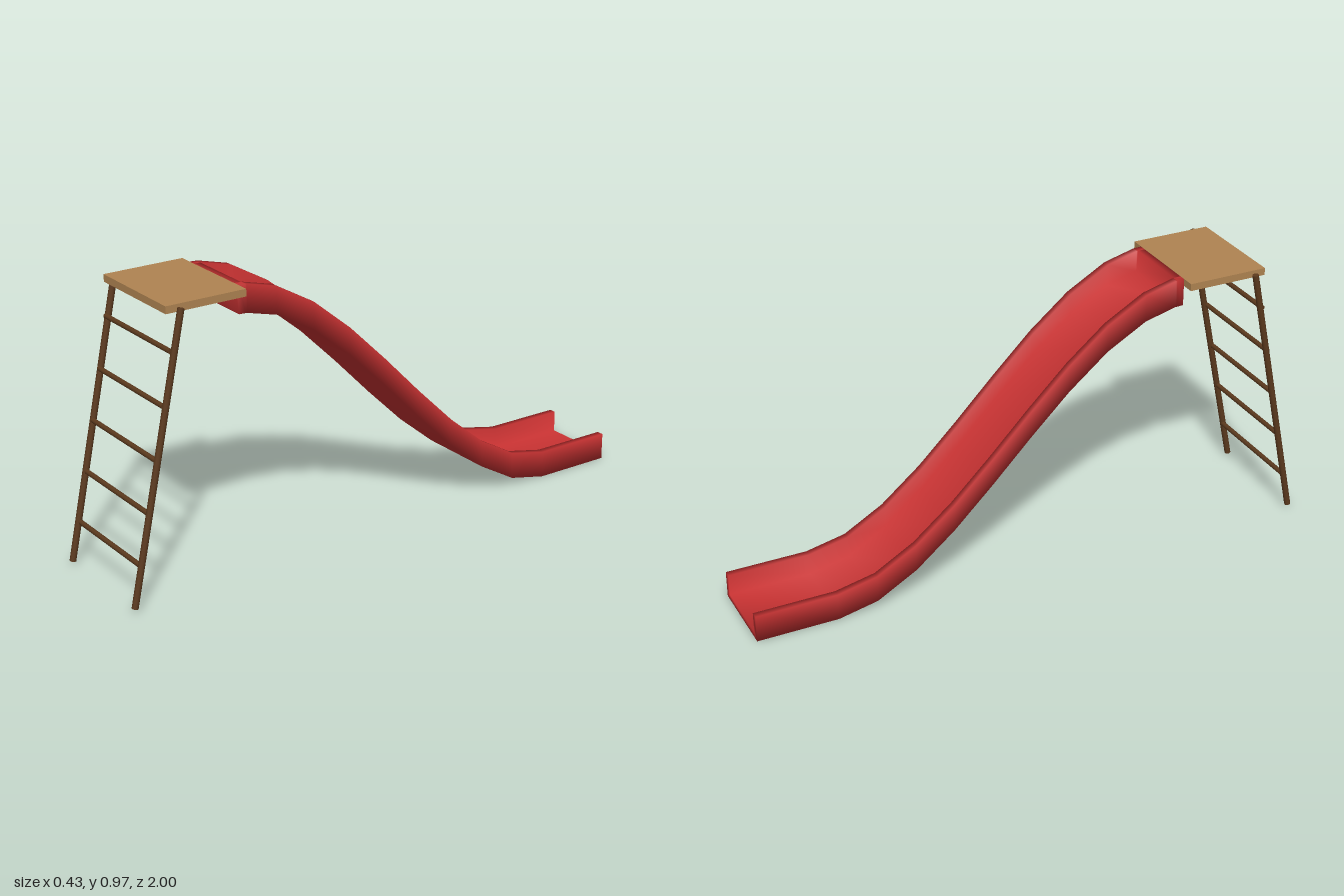
import * as THREE from 'three';

const red = new THREE.MeshStandardMaterial({ name: 'slideRed', color: 0xc83232 });
const tan = new THREE.MeshStandardMaterial({ name: 'platformTan', color: 0xb08452 });
const brown = new THREE.MeshStandardMaterial({ name: 'ladderBrown', color: 0x5c3a1e });

const HEIGHT = 0.095, DROP = 0.873, TOP_Z = 0.55, FOOT_Z = -0.715;

function add(parent, name, geometry, material) {
  const mesh = new THREE.Mesh(geometry, material);
  mesh.name = name;
  parent.add(mesh);
  return mesh;
}

// Round bar between two points
function bar(parent, name, a, b, radius) {
  const mesh = add(parent, name, new THREE.CylinderGeometry(radius, radius, a.distanceTo(b), 10), brown);
  mesh.position.copy(a).add(b).multiplyScalar(0.5);
  mesh.quaternion.setFromUnitVectors(new THREE.Vector3(0, 1, 0), b.clone().sub(a).normalize());
}

// Underside height of the chute: an S-curve that levels out at the foot
function baseHeight(z) {
  const t = THREE.MathUtils.clamp((TOP_Z - z) / (TOP_Z - FOOT_Z), 0, 1);
  return DROP * (1 - t * t * (3 - 2 * t));
}

// U-shaped channel lofted along z, closed by a low wall at the top end
function chuteGeometry() {
  const outer = 0.145, inner = 0.12, floor = 0.02;
  const stations = [[TOP_Z, HEIGHT], [0.525, HEIGHT], [0.52, floor]];
  for (let i = 1; i <= 9; i++) stations.push([TOP_Z + (FOOT_Z - TOP_Z) * i / 9, floor]);
  stations.push([-1, floor]);

  const positions = [], index = [];
  const quad = (a, b, c, d) => index.push(a, b, c, a, c, d);
  for (const [z, f] of stations) {
    const y = baseHeight(z);
    const section = [[-outer, 0], [-outer, HEIGHT], [-inner, HEIGHT], [-inner, f],
      [inner, f], [inner, HEIGHT], [outer, HEIGHT], [outer, 0]];
    for (const [x, h] of section) positions.push(x, y + h, z);
  }
  for (let i = 0; i < stations.length - 1; i++) {
    for (let k = 0; k < 8; k++) {
      const n = (k + 1) % 8, a = i * 8, b = a + 8;
      quad(a + k, a + n, b + n, b + k);
    }
  }
  const e = (stations.length - 1) * 8;
  for (const [a, b, c, d] of [[0, 1, 2, 3], [0, 3, 4, 7], [7, 4, 5, 6]]) {
    quad(d, c, b, a);
    quad(e + a, e + b, e + c, e + d);
  }
  const geometry = new THREE.BufferGeometry();
  geometry.setAttribute('position', new THREE.Float32BufferAttribute(positions, 3));
  geometry.setIndex(index);
  geometry.computeVertexNormals();
  return geometry;
}

export function createModel() {
  const model = new THREE.Group();
  model.name = 'playgroundSlide';

  add(model, 'chute', chuteGeometry(), red);

  // Platform at the top
  const platform = add(model, 'platform', new THREE.BoxGeometry(0.38, 0.025, 0.285), tan);
  platform.position.set(0, 0.956, 0.6925);

  // Leaning ladder
  const ladder = new THREE.Group();
  ladder.name = 'ladder';
  model.add(ladder);
  for (const side of [-1, 1]) {
    bar(ladder, side < 0 ? 'rightRail' : 'leftRail',
      new THREE.Vector3(side * 0.204, 0.013, 0.99), new THREE.Vector3(side * 0.204, 0.958, 0.79), 0.011);
  }
  for (let i = 0; i < 5; i++) {
    const y = 0.147 + i * 0.17, z = 0.986 - 0.19 * y;
    bar(ladder, 'rung', new THREE.Vector3(-0.2, y, z), new THREE.Vector3(0.2, y, z), 0.0085);
  }
  return model;
}
